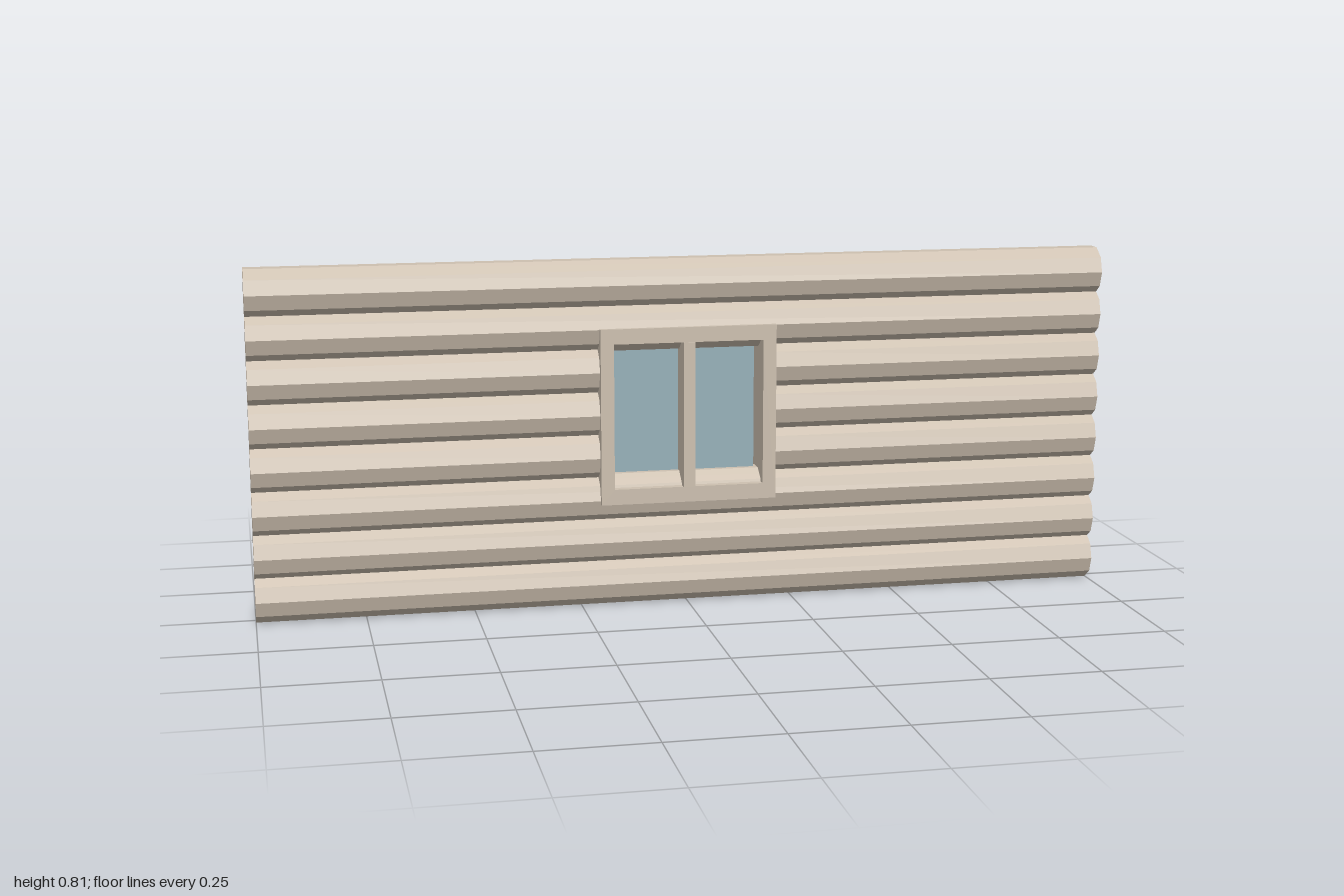
import * as THREE from 'three';

export function createModel() {
  const group = new THREE.Group();
  const wood = new THREE.MeshStandardMaterial({ color: 0xcdc0b0, flatShading: true });
  wood.name = 'pale wood';
  const glassBlue = new THREE.MeshStandardMaterial({ color: 0x97b1b9 });
  glassBlue.name = 'window glass';

  const add = (name, geometry, material, x, y, z) => {
    const mesh = new THREE.Mesh(geometry, material);
    mesh.name = name;
    mesh.position.set(x, y, z);
    group.add(mesh);
  };

  // Ten-sided log lying along x, between two x positions
  const addLog = (name, x0, x1, y) => {
    const g = new THREE.CylinderGeometry(0.058, 0.058, x1 - x0, 10);
    g.rotateZ(Math.PI / 2);
    add(name, g, wood, (x0 + x1) / 2, y, 0);
  };

  // Eight stacked logs; three are cut to make room for the window
  for (let i = 0; i < 8; i++) {
    const y = 0.055 + i * 0.1;
    if (i >= 3 && i <= 5) {
      addLog('rightCutLog', -1, -0.19, y);
      addLog('leftCutLog', 0.19, 1, y);
    } else {
      addLog('fullLog', -1, 1, y);
    }
  }

  // Window casing running through the wall
  const rect = (path, x0, y0, x1, y1) =>
    path.moveTo(x0, y0).lineTo(x1, y0).lineTo(x1, y1).lineTo(x0, y1).closePath();
  const outline = new THREE.Shape();
  rect(outline, -0.208, 0.247, 0.204, 0.657);
  const opening = new THREE.Path();
  rect(opening, -0.177, 0.283, 0.173, 0.622);
  outline.holes.push(opening);
  const casing = new THREE.ExtrudeGeometry(outline, { depth: 0.14, bevelEnabled: false });
  add('windowFrame', casing, wood, 0, 0, -0.072);

  // Glass pane with a narrow gap at each side, and the front mullion
  add('glassPane', new THREE.BoxGeometry(0.335, 0.339, 0.008), glassBlue, -0.002, 0.4525, 0);
  add('mullion', new THREE.BoxGeometry(0.027, 0.339, 0.069), wood, -0.002, 0.4525, 0.0385);

  return group;
}
